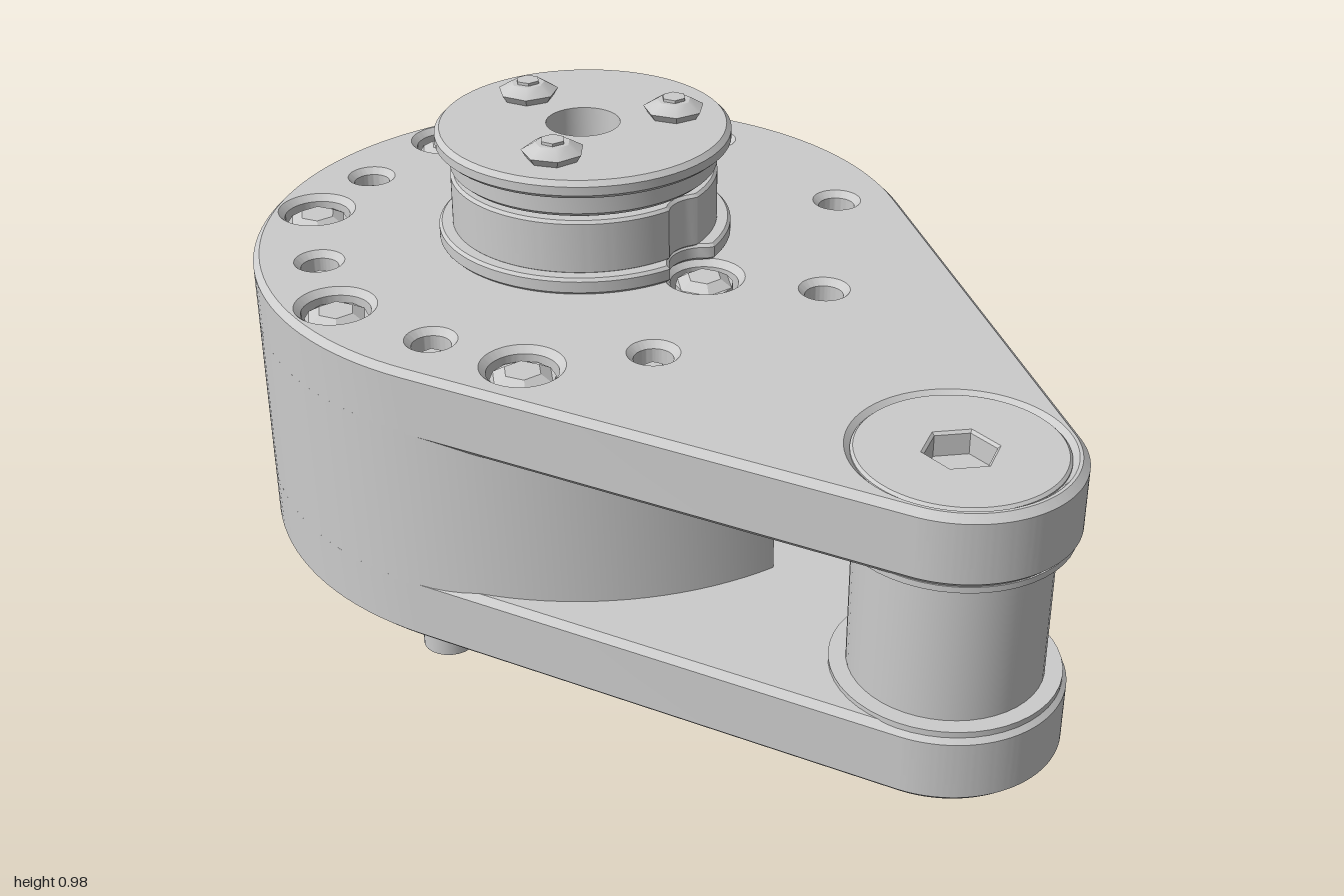
import * as THREE from 'three';
import { toCreasedNormals } from 'three/addons/utils/BufferGeometryUtils.js';

const HUB = -0.32, TIP = 0.78, BIG = 0.68, SMALL = 0.22;
const material = new THREE.MeshStandardMaterial({ color: 0xcccccc });

export function createModel() {
  const model = new THREE.Group();

  const add = (name, geometry, x = 0, y = 0, z = 0) => {
    const mesh = new THREE.Mesh(geometry, material);
    mesh.name = name;
    mesh.position.set(x, y, z);
    model.add(mesh);
    return mesh;
  };

  // Upright cylinder between two heights
  const post = (name, x, z, y0, y1, r, sides = 32, rTop = r) =>
    add(name, toCreasedNormals(new THREE.CylinderGeometry(rTop, r, y1 - y0, sides), 0.5), x, (y0 + y1) / 2, z);

  // Plan outline raised between two heights (shape y is -z)
  const slab = (name, shape, y0, y1, bevel = 0) => {
    const geometry = new THREE.ExtrudeGeometry(shape, {
      depth: y1 - y0 - 2 * bevel, curveSegments: 40, bevelEnabled: bevel > 0,
      bevelSize: bevel, bevelThickness: bevel, bevelOffset: -bevel, bevelSegments: 1,
    });
    geometry.rotateX(-Math.PI / 2);
    geometry.translate(0, y0 + bevel, 0);
    return add(name, toCreasedNormals(geometry, 0.5));
  };

  const hole = (x, z, r) => new THREE.Path().absarc(x, -z, r, 0, Math.PI * 2, true);

  // Teardrop outline: two circles joined by their tangents
  const teardrop = (holes) => {
    const a = Math.acos((BIG - SMALL) / (TIP - HUB));
    const s = new THREE.Shape();
    s.absarc(HUB, 0, BIG, a, Math.PI * 2 - a, false);
    s.absarc(TIP, 0, SMALL, -a, a, false);
    s.closePath();
    s.holes = holes;
    return s;
  };

  // Bolt positions
  const ring = [];
  for (let i = 0; i < 8; i++) {
    const a = (i + 0.5) * Math.PI / 4;
    ring.push([HUB + 0.55 * Math.cos(a), 0.55 * Math.sin(a)]);
  }
  const inGap = ring.slice(5); // the three bolts standing in the open gap
  const bigBolts = [[-0.9, -0.03], [-0.75, 0.39], [-0.34, 0.58], [0.08, 0.43]];
  const hubBolts = [[0, -0.06], [-0.47, -0.28]];

  // Plates
  slab('topPlate', teardrop([
    ...ring.map(([x, z]) => hole(x, z, 0.038)),
    ...[...bigBolts, ...hubBolts].map(([x, z]) => hole(x, z, 0.068)),
    hole(TIP, 0, 0.188),
  ]), 0.555, 0.7, 0.013);
  slab('bottomPlate', teardrop([
    ...inGap.map(([x, z]) => hole(x, z, 0.06)),
    hole(TIP, 0, 0.188),
  ]), 0.1, 0.243, 0.013);

  // Round core between the plates, cut flat at the back
  const core = new THREE.Shape();
  core.absarc(HUB, 0, BIG, Math.atan2(0.49, -0.47), Math.PI * 2 - 0.075, false);
  core.closePath();
  slab('core', core, 0.225, 0.573);

  // Sunken screw with a small faceted crown
  const screw = (name, x, z, y0, y1, r) => {
    post(name, x, z, y0, y1 - 0.015, r, 12);
    post(name + 'Crown', x, z, y1 - 0.015, y1, r, 6, r * 0.6);
  };
  bigBolts.forEach(([x, z]) => screw('rimScrew', x, z, 0.56, 0.69, 0.062));
  hubBolts.forEach(([x, z]) => screw('hubScrew', x, z, 0.56, 0.7, 0.058));
  ring.forEach(([x, z], i) => {
    post('footPin', x, z, 0.006, 0.11, 0.054, 24);
    post('footPinEnd', x, z, 0, 0.006, 0.046, 24, 0.054);
    if (i < 5) screw('ringScrew', x, z, 0.56, 0.67, 0.033);
  });
  inGap.forEach(([x, z]) => {
    post('screwSeat', x, z, 0.102, 0.18, 0.066);
    screw('gapScrew', x, z, 0.17, 0.236, 0.05);
  });

  // Two thin tapered locating pins underneath
  [[0.27, 0.1], [-0.76, -0.38]].forEach(([x, z]) => post('locatingPin', x, z, 0.04, 0.11, 0.014, 8, 0.025));

  // Roller at the narrow end with washers and socket caps
  post('roller', TIP, 0, 0.15, 0.65, 0.18, 48);
  const cap = new THREE.Shape();
  cap.absarc(TIP, 0, 0.19, 0, Math.PI * 2, false);
  const hex = [];
  for (let i = 0; i < 6; i++) {
    const a = -i * Math.PI / 3;
    hex.push(new THREE.Vector2(TIP + 0.065 * Math.cos(a), 0.065 * Math.sin(a)));
  }
  cap.holes.push(new THREE.Path(hex));
  slab('topCap', cap, 0.62, 0.697, 0.005);
  slab('bottomCap', cap, 0.103, 0.18, 0.005);
  post('washer', TIP, 0, 0.24, 0.252, 0.212, 48);
  post('washer', TIP, 0, 0.545, 0.557, 0.212, 48);

  // Lower hub with scallops that clear its fixing screws
  const scalloped = (radius) => {
    const points = [];
    for (let i = 0; i < 180; i++) {
      const a = i * Math.PI / 90;
      let r = radius;
      hubBolts.forEach(([x, z]) => {
        const d = Math.hypot(x - HUB, z), da = a - Math.atan2(-z, x - HUB);
        const k = 0.07 ** 2 - (d * Math.sin(da)) ** 2;
        if (k > 0 && Math.cos(da) > 0) r = Math.min(r, d * Math.cos(da) - Math.sqrt(k));
      });
      points.push(new THREE.Vector2(HUB + r * Math.cos(a), r * Math.sin(a)));
    }
    const shape = new THREE.Shape(points);
    shape.holes.push(hole(HUB, 0, 0.075));
    return shape;
  };
  slab('hubFlange', scalloped(0.3), 0.7, 0.735, 0.006);
  slab('hubBody', scalloped(0.272), 0.73, 0.845, 0.006);

  // Upper hub with a groove, rim and bore
  const profile = [
    [0.075, 0.7], [0.075, 0.94], [0.29, 0.94], [0.3, 0.93], [0.3, 0.912], [0.29, 0.903], [0.272, 0.903],
    [0.272, 0.862], [0.262, 0.853], [0.245, 0.853], [0.245, 0.838], [0.075, 0.838],
  ].reverse().map(([r, y]) => new THREE.Vector2(r, y));
  add('hubRim', toCreasedNormals(new THREE.LatheGeometry(profile, 64), 0.4), HUB);

  // Bolts on top of the hub
  [[-0.5, 0.01], [-0.24, -0.17], [-0.21, 0.15]].forEach(([x, z], i) => {
    const head = post('hubBolt', x, z, 0.935, 0.955, 0.05, 7, 0.063);
    const dome = post('hubBoltDome', x, z, 0.955, 0.972, 0.063, 7, 0.035);
    const nub = post('hubBoltNub', x, z, 0.972, 0.978, 0.025, 6);
    [head, dome, nub].forEach((m) => { m.rotation.y = i; });
  });

  return model;
}
